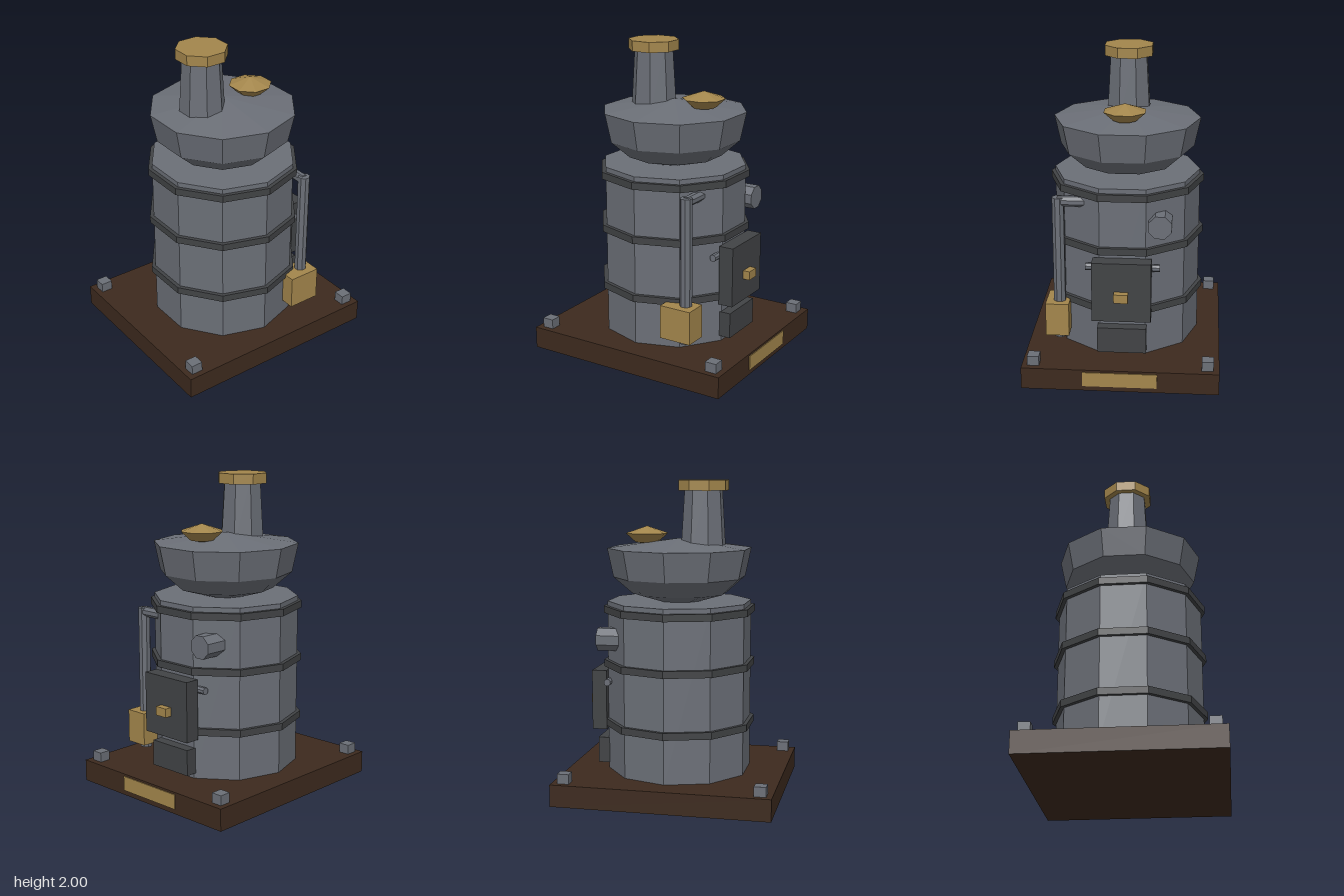
import * as THREE from 'three';

const paint = (color) => new THREE.MeshStandardMaterial({ color, flatShading: true, side: THREE.DoubleSide });

export function createModel() {
  const model = new THREE.Group();
  const steel = paint(0x6b6f77), iron = paint(0x414345), brass = paint(0xa3864c), wood = paint(0x3d2a1e);

  const add = (name, geometry, material, x, y, z) => {
    const mesh = new THREE.Mesh(geometry, material);
    mesh.name = name;
    mesh.position.set(x, y, z);
    model.add(mesh);
    return mesh;
  };
  // box given by its minimum and maximum on each axis
  const box = (name, material, [x0, x1], [y0, y1], [z0, z1]) =>
    add(name, new THREE.BoxGeometry(x1 - x0, y1 - y0, z1 - z0), material,
      (x0 + x1) / 2, (y0 + y1) / 2, (z0 + z1) / 2);
  // eight-sided cylinder with flats facing the axes; radii are measured to the flats
  const octagon = (top, bottom, height) => {
    const k = 1 / Math.cos(Math.PI / 8);
    return new THREE.CylinderGeometry(top * k, bottom * k, height, 8).rotateY(Math.PI / 8);
  };
  const lathe = (points, sides, turn = 0) =>
    new THREE.LatheGeometry(points.map(([r, y]) => new THREE.Vector2(r, y)), sides).rotateY(turn);

  // base board with corner blocks and a brass plate
  box('base', wood, [-0.692, 0.688], [0, 0.14], [-0.612, 0.612]);
  for (const sx of [-1, 1]) for (const sz of [-1, 1]) {
    add('cornerBlock', new THREE.BoxGeometry(0.075, 0.07, 0.073), steel, sx * 0.615 - 0.003, 0.167, sz * 0.54);
  }
  box('basePlate', brass, [0.67, 0.694], [0.032, 0.126], [-0.23, 0.23]);

  // ten-sided drum with three bands
  add('drum', new THREE.CylinderGeometry(0.463, 0.463, 1.1, 10), steel, -0.003, 0.685, 0);
  for (const y of [0.45, 0.835, 1.182]) {
    add('band', new THREE.CylinderGeometry(0.488, 0.488, 0.045, 10), iron, -0.003, y, 0);
  }

  // bowl-shaped dome with a shallow conical lid
  add('dome', lathe([[0, 1.23], [0.13, 1.232], [0.305, 1.283], [0.424, 1.388], [0.463, 1.572], [0, 1.633]], 10),
    steel, -0.003, 0, 0);

  // chimney and valve cap
  add('chimney', octagon(0.112, 0.134, 0.4), steel, -0.157, 1.76, 0);
  add('chimneyCap', octagon(0.149, 0.149, 0.065), brass, -0.157, 1.9675, 0);
  add('valveCap', lathe([[0, 1.59], [0.075, 1.605], [0.137, 1.662], [0, 1.708]], 8, Math.PI / 8),
    brass, 0.212, 0, 0);

  // upright feed pipe with its elbow and brass pump box
  add('feedPipe', octagon(0.036, 0.036, 0.94), steel, 0.335, 0.67, 0.406);
  add('feedElbow', octagon(0.031, 0.031, 0.22).rotateX(Math.PI / 2), steel, 0.335, 1.115, 0.3);
  box('pumpBox', brass, [0.2, 0.412], [0.233, 0.449], [0.342, 0.49]);

  // side outlet
  add('outlet', octagon(0.071, 0.071, 0.2).rotateZ(Math.PI / 2), steel, 0.372, 1.004, -0.231);

  // fire door with hinge pins and knob, ash door below
  box('fireDoor', iron, [0.44, 0.535], [0.402, 0.788], [-0.182, 0.184]);
  box('doorKnob', brass, [0.52, 0.58], [0.546, 0.602], [-0.043, 0.045]);
  for (const s of [-1, 1]) {
    add('hinge', octagon(0.021, 0.021, 0.08).rotateX(Math.PI / 2), steel, 0.421, 0.72, s * 0.192);
  }
  box('ashDoor', iron, [0.41, 0.505], [0.174, 0.34], [-0.152, 0.154]);

  return model;
}
